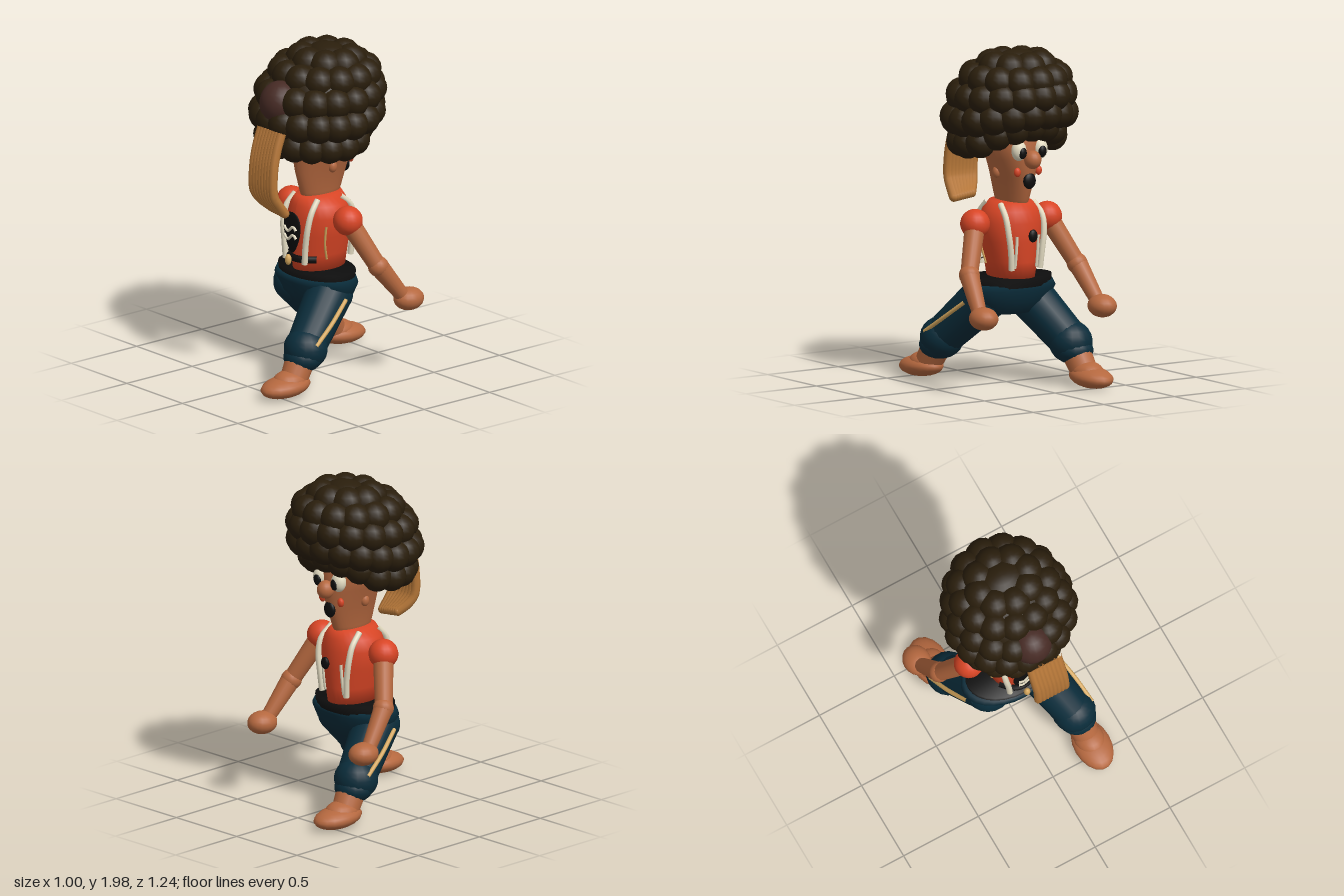
import * as THREE from 'three';

const mat = (name, color) => {
  const m = new THREE.MeshStandardMaterial({ color });
  m.name = name;
  return m;
};
const V = (a) => new THREE.Vector3(...a);

export function createModel() {
  const root = new THREE.Group();
  root.name = 'puppet';
  const skin = mat('skin', 0xb5683f), vest = mat('vest orange', 0xd84525), hair = mat('hair', 0x2a1e0c);
  const denim = mat('trouser teal', 0x0a2c3a), black = mat('black', 0x0d0d0d), cream = mat('cream', 0xe4dcc2);
  const tail = mat('tail tan', 0xb67738), gold = mat('gold', 0xd6a85e), brown = mat('hair band brown', 0x462a24);

  const add = (name, geo, m) => {
    const mesh = new THREE.Mesh(geo, m);
    mesh.name = name;
    root.add(mesh);
    return mesh;
  };
  // Ellipsoid at p with radii r
  const ball = (name, p, r, m, seg = 18) => {
    const b = add(name, new THREE.SphereGeometry(1, seg, Math.ceil(seg * 0.7)), m);
    b.position.set(...p);
    b.scale.set(...r);
    return b;
  };
  // Tapered limb from a (radius ra) to b (radius rb)
  const limb = (name, a, b, ra, rb, m) => {
    const A = V(a), B = V(b), d = B.clone().sub(A);
    const c = add(name, new THREE.CylinderGeometry(rb, ra, d.length(), 18), m);
    c.position.copy(A).add(B).multiplyScalar(0.5);
    c.quaternion.setFromUnitVectors(new THREE.Vector3(0, 1, 0), d.normalize());
  };
  const tube = (name, pts, r, m, n = 16, sides = 8) =>
    add(name, new THREE.TubeGeometry(new THREE.CatmullRomCurve3(pts.map(V)), n, r, sides), m);
  // Body of stacked ellipses: rows of [y, rx, rz, zCentre], bottom to top
  const loft = (name, rows, m) => {
    const geo = new THREE.LatheGeometry(rows.map((_, i) => new THREE.Vector2(1, i)), 28);
    const p = geo.attributes.position;
    for (let i = 0; i < p.count; i++) {
      const [y, rx, rz, zc] = rows[Math.round(p.getY(i))];
      p.setXYZ(i, p.getX(i) * rx, y, p.getZ(i) * rz + zc);
    }
    geo.computeVertexNormals();
    add(name, geo, m);
  };

  // Torso
  const torso = [[0.64, 0.001, 0.001, -0.045], [0.65, 0.125, 0.17, -0.045], [0.75, 0.145, 0.178, -0.045], [0.87, 0.175, 0.187, -0.045],
    [0.98, 0.19, 0.187, -0.045], [1.05, 0.165, 0.17, -0.045], [1.1, 0.115, 0.145, -0.045], [1.11, 0.001, 0.001, -0.045]];
  loft('torso', torso, vest);
  // Point on the torso surface at (x, y), side s
  const onTorso = (x, y, s, lift = 0.005) => {
    const i = Math.max(1, torso.findIndex((r) => r[0] >= y)), a = torso[i - 1], b = torso[i];
    const t = (y - a[0]) / (b[0] - a[0]);
    const rx = a[1] + (b[1] - a[1]) * t, rz = a[2] + (b[2] - a[2]) * t;
    return [x, y, -0.045 + s * (rz * Math.sqrt(Math.max(0.05, 1 - (x / rx) ** 2)) + lift)];
  };

  // Straps and seams on the vest
  for (const s of [-1, 1]) {
    for (const z of [-1, 1]) {
      const k = z > 0 ? 0 : 0.015;
      const strap = [[0.71, 0.085, 0.045], [0.82, 0.095, 0.035], [0.93, 0.11, 0.03], [1.02, 0.113, 0.018], [1.09, 0.1, 0.005]];
      tube('strap', strap.map(([y, x, lift]) => onTorso(s * (x + k), y, z, z > 0 ? lift : lift * 0.8)), 0.018, cream);
    }
    tube('vestSeam', [0.73, 0.83, 0.94].map((y) => onTorso(s * (0.135 + (y - 0.73) * 0.15), y, 1)), 0.007, gold);
    tube('backSeam', [0.72, 0.82, 0.91].map((y) => onTorso(s * 0.075, y, -1)), 0.009, cream);
  }
  // Emblem panel narrowing downward, two wavy lines, small belt and bead
  const panel = ball('panel', [0, 0.89, 0.16], [0.076, 0.125, 0.016], black).geometry.attributes.position;
  for (let i = 0; i < panel.count; i++) panel.setX(i, panel.getX(i) * (0.92 + 0.35 * panel.getY(i)));
  for (const y of [0.865, 0.915])
    tube('wave', [0, 1, 2, 3, 4, 5, 6].map((i) => [-0.052 + i * 0.0175, y + Math.sin(i * 1.2 + 2.5) * 0.016, 0.176]), 0.009, cream, 20, 6);
  tube('vestBelt', [-0.115, -0.06, 0, 0.06, 0.115].map((x) => onTorso(x, 0.73, 1, 0.012)), 0.022, black);
  ball('bead', [0, 0.73, 0.19], [0.02, 0.033, 0.02], gold, 12);
  ball('button', [0, 0.915, -0.275], [0.03, 0.038, 0.017], black, 12);

  // Waistband and hips
  loft('waistband', [[0.6, 0.27, 0.185, -0.03], [0.655, 0.272, 0.187, -0.03], [0.656, 0.001, 0.001, -0.03]], black);
  loft('hips', [[0.43, 0.001, 0.001, -0.025], [0.44, 0.2, 0.12, -0.025], [0.51, 0.265, 0.17, -0.025],
    [0.585, 0.305, 0.19, -0.025], [0.62, 0.285, 0.185, -0.025], [0.621, 0.001, 0.001, -0.025]], denim);

  for (const s of [-1, 1]) {
    // Legs stride apart: left to +z, right to -z
    const P = (x, y, z) => [s * x, y, s * z];
    limb('thigh', P(0.15, 0.53, 0.0), P(0.255, 0.28, 0.27), 0.138, 0.117, denim);
    ball('hipJoint', P(0.15, 0.52, 0.0), [0.14, 0.125, 0.135], denim);
    ball('knee', P(0.262, 0.268, 0.28), [0.13, 0.125, 0.13], denim);
    ball('cuff', P(0.268, 0.222, 0.305), [0.115, 0.085, 0.115], denim);
    tube('legStripe', [P(0.295, 0.515, 0), P(0.342, 0.41, 0.145), P(0.375, 0.31, 0.295)], 0.013, gold);
    limb('shin', P(0.268, 0.22, 0.32), P(0.285, 0.09, 0.4), 0.088, 0.08, skin);
    ball('foot', P(0.287, 0.08, 0.455), [0.11, 0.062, 0.167], skin).rotation.x = s * 0.06;
    ball('instep', P(0.285, 0.105, 0.42), [0.09, 0.065, 0.11], skin);

    // Arms swing toward -z
    ball('shoulder', [s * 0.255, 0.98, -0.05], [0.088, 0.088, 0.088], vest);
    limb('upperArm', [s * 0.265, 0.96, -0.06], [s * 0.38, 0.71, -0.17], 0.06, 0.052, skin);
    ball('elbow', [s * 0.382, 0.705, -0.175], [0.062, 0.062, 0.062], skin);
    limb('forearm', [s * 0.385, 0.7, -0.18], [s * 0.42, 0.49, -0.34], 0.058, 0.042, skin);
    ball('hand', [s * 0.42, 0.478, -0.375], [0.082, 0.068, 0.095], skin);

    // Ears, eyes and cheeks
    ball('ear', [s * 0.108, 1.275, -0.057], [0.025, 0.036, 0.028], skin, 12);
    ball('eyeWhite', [s * 0.075, 1.42, -0.238], [0.046, 0.06, 0.042], cream);
    ball('pupil', [s * 0.07, 1.41, -0.268], [0.027, 0.036, 0.02], black, 12);
    ball('cheek', [s * 0.075, 1.29, -0.222], [0.022, 0.028, 0.018], vest, 10);
  }

  // Head, nose and mouth
  loft('head', [[1.03, 0.001, 0.001, -0.055], [1.04, 0.06, 0.115, -0.055], [1.12, 0.075, 0.145, -0.055], [1.25, 0.1, 0.182, -0.06],
    [1.36, 0.145, 0.193, -0.065], [1.48, 0.18, 0.19, -0.065], [1.62, 0.15, 0.15, -0.06], [1.68, 0.001, 0.001, -0.06]], skin);
  ball('nose', [0, 1.365, -0.27], [0.05, 0.055, 0.055], skin);
  ball('mouth', [0, 1.235, -0.238], [0.042, 0.048, 0.022], black);

  // Hair: solid core covered by rings of round curls, lifted over the face
  ball('hairCore', [0, 1.7, -0.05], [0.33, 0.25, 0.32], hair, 24);
  const rings = [ // y, rx, zCentre, rz, count, curl size, lift over the face
    [1.452, 0.275, -0.005, 0.255, 16, 0.09, 0.6], [1.59, 0.32, -0.03, 0.305, 18, 0.094, 0.2],
    [1.72, 0.295, -0.055, 0.3, 16, 0.094, 0.1], [1.83, 0.245, -0.09, 0.24, 13, 0.095, 0],
    [1.895, 0.15, -0.1, 0.135, 8, 0.1, 0]];
  rings.forEach(([y, rx, zc, rz, n, r, lift], row) => {
    for (let i = 0; i < n; i++) {
      const a = ((i + (row % 2) / 2) / n) * Math.PI * 2;
      const x = Math.sin(a) * rx, z = zc + Math.cos(a) * rz;
      if (row > 0 && Math.hypot(x, y - 1.72) < 0.11 && z > 0.1) continue;
      ball('curl', [x, y + Math.max(0, -z - 0.08) * lift, z], [r, r, r], hair, 14);
    }
  });
  ball('topCurl', [0, 1.9, -0.11], [0.16, 0.1, 0.13], hair);
  ball('hairKnot', [-0.005, 1.7, 0.24], [0.125, 0.132, 0.13], brown);

  // Tail of parallel strands hanging from the knot
  for (let i = 0; i < 8; i++) {
    const x = -0.06 + i * 0.025, t = 1 - i / 7;
    tube('tailStrand', [[x, 1.56, 0.34], [x + 0.002, 1.46, 0.378], [x + 0.008, 1.34, 0.408], [x + 0.014, 1.19, 0.41],
      [x + 0.02 + t * 0.02, 1.13, 0.375], [x + 0.025 + t * 0.05, 1.075 + t * 0.015, 0.335]], 0.028, tail, 18, 8);
    ball('tailTip', [x + 0.025 + t * 0.05, 1.075 + t * 0.015, 0.335], [0.028, 0.028, 0.028], tail, 8);
  }
  return root;
}
